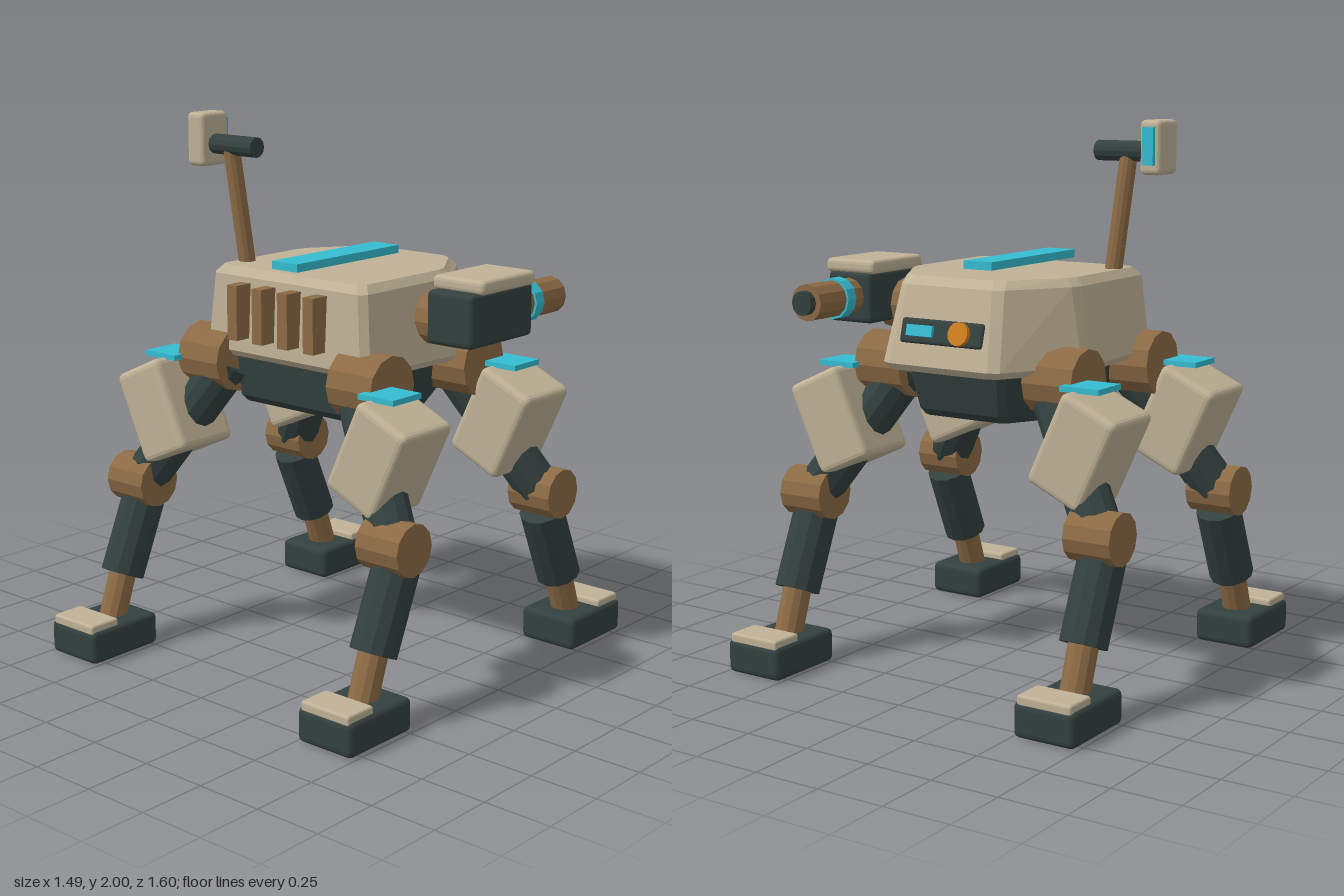
import * as THREE from 'three';
import { RoundedBoxGeometry } from 'three/addons/geometries/RoundedBoxGeometry.js';

const V = (x, y, z) => new THREE.Vector3(x, y, z);

function makeMaterial(name, color) {
  const m = new THREE.MeshStandardMaterial({ color, flatShading: true });
  m.name = name;
  return m;
}

// Stacked convex cross-sections with chamfered corners, closed at both ends.
// Each level is [y, list of [x, z] for the +x side from front to back].
function loftGeometry(levels, chamfer) {
  const pos = [], index = [];
  let n = 0;
  for (const [y, half] of levels) {
    const ring = [...half.map(([x, z]) => [-x, z]), ...half.slice().reverse()];
    n = ring.length * 2;
    ring.forEach((p, i) => {
      for (const q of [ring.at(i - 1), ring[(i + 1) % ring.length]]) {
        const t = chamfer / Math.hypot(q[0] - p[0], q[1] - p[1]);
        pos.push(p[0] + (q[0] - p[0]) * t, y, p[1] + (q[1] - p[1]) * t);
      }
    });
  }
  const top = (levels.length - 1) * n;
  for (let k = 0; k < top; k += n) {
    for (let i = 0; i < n; i++) {
      const j = (i + 1) % n;
      index.push(k + i, k + j, k + n + j, k + i, k + n + j, k + n + i);
    }
  }
  for (let i = 1; i < n - 1; i++) index.push(0, i + 1, i, top, top + i, top + i + 1);
  const g = new THREE.BufferGeometry();
  g.setAttribute('position', new THREE.Float32BufferAttribute(pos, 3));
  g.setIndex(index);
  const flat = g.toNonIndexed();
  flat.computeVertexNormals();
  return flat;
}

export function createModel() {
  const model = new THREE.Group();
  model.name = 'walkerRobot';

  const armor = makeMaterial('armorCream', 0xc0b296);
  const dark = makeMaterial('darkFrame', 0x33413f);
  const bronze = makeMaterial('bronzeJoint', 0x8d6b45);
  const cyan = makeMaterial('cyanGlow', 0x35bdd2);
  const orange = makeMaterial('orangeLamp', 0xd4811f);

  function add(name, geometry, material, at = V(0, 0, 0), parent = model) {
    const mesh = new THREE.Mesh(geometry, material);
    mesh.name = name;
    mesh.position.copy(at);
    parent.add(mesh);
    return mesh;
  }
  const box = (name, mat, w, h, d, at, parent) =>
    add(name, new THREE.BoxGeometry(w, h, d), mat, at, parent);
  const softBox = (name, mat, w, h, d, r, at, parent) =>
    add(name, new RoundedBoxGeometry(w, h, d, 2, r), mat, at, parent);

  // Cylinder running from point a to point b
  function rod(name, mat, a, b, r, parent, sides = 12) {
    const dir = b.clone().sub(a);
    const mesh = add(name, new THREE.CylinderGeometry(r, r, dir.length(), sides), mat,
      a.clone().add(b).multiplyScalar(0.5), parent);
    mesh.quaternion.setFromUnitVectors(V(0, 1, 0), dir.normalize());
    return mesh;
  }

  // Hull and belly
  add('hull', loftGeometry([
    [1.13, [[0.22, -0.49], [0.40, -0.18], [0.37, 0.29]]],
    [1.155, [[0.235, -0.51], [0.42, -0.19], [0.39, 0.315]]],
    [1.43, [[0.205, -0.435], [0.37, -0.18], [0.365, 0.3]]],
    [1.46, [[0.19, -0.40], [0.345, -0.17], [0.34, 0.275]]],
  ], 0.025), armor);
  add('belly', loftGeometry([
    [0.95, [[0.17, -0.35], [0.28, -0.14], [0.27, 0.23]]],
    [0.975, [[0.18, -0.37], [0.295, -0.15], [0.285, 0.25]]],
    [1.14, [[0.2, -0.41], [0.33, -0.16], [0.31, 0.27]]],
  ], 0.02), dark);
  box('topStripe', cyan, 0.12, 0.03, 0.56, V(0, 1.49, 0.02));

  // Cooling fins on the flat end
  for (let i = 0; i < 4; i++) {
    box('coolingFin', bronze, 0.047, 0.2, 0.09, V(-0.189 + i * 0.122, 1.31, 0.33));
  }

  // Sensor slot on the sloping nose
  const sensor = new THREE.Group();
  sensor.name = 'noseSensor';
  sensor.position.set(0, 1.27, -0.463);
  sensor.rotation.x = 0.25;
  model.add(sensor);
  softBox('sensorSlot', dark, 0.35, 0.09, 0.05, 0.012, V(0, 0, 0), sensor);
  box('sensorBar', cyan, 0.11, 0.04, 0.025, V(0.085, 0, -0.025), sensor);
  rod('sensorLamp', orange, V(-0.083, 0, -0.01), V(-0.083, 0, -0.043), 0.042, sensor);

  // Mast with camera head
  rod('mastPole', bronze, V(-0.305, 1.42, 0.165), V(-0.348, 1.875, 0.203), 0.032);
  rod('mastCrossbar', dark, V(-0.44, 1.885, 0.203), V(-0.22, 1.885, 0.203), 0.037);
  softBox('cameraHead', armor, 0.085, 0.195, 0.135, 0.018, V(-0.472, 1.902, 0.2));
  box('cameraLens', cyan, 0.045, 0.135, 0.02, V(-0.472, 1.907, 0.127));

  // Side cannon
  rod('cannonMount', bronze, V(0.33, 1.305, -0.058), V(0.53, 1.305, -0.058), 0.097);
  softBox('cannonBody', dark, 0.2, 0.19, 0.36, 0.018, V(0.568, 1.34, -0.095));
  softBox('cannonCover', armor, 0.225, 0.052, 0.312, 0.018, V(0.568, 1.455, -0.118));
  rod('cannonBarrel', bronze, V(0.568, 1.345, -0.25), V(0.568, 1.345, -0.525), 0.068);
  rod('barrelRing', cyan, V(0.568, 1.345, -0.33), V(0.568, 1.345, -0.377), 0.077);
  rod('muzzle', dark, V(0.568, 1.345, -0.5), V(0.568, 1.345, -0.552), 0.045);

  // Four mirrored legs
  for (const sx of [-1, 1]) {
    for (const sz of [-1, 1]) {
      const P = (x, y, z) => V(x * sx, y, z * sz);
      const leg = new THREE.Group();
      leg.name = (sz < 0 ? 'nose' : 'fin') + (sx > 0 ? 'LeftLeg' : 'RightLeg');
      model.add(leg);
      rod('hipJoint', bronze, P(0.265, 1.11, 0.262), P(0.465, 1.11, 0.262), 0.12, leg);
      rod('thighStrut', dark, P(0.31, 1.1, 0.26), P(0.61, 0.63, 0.425), 0.085, leg);
      const plate = softBox('thighArmor', armor, 0.235, 0.355, 0.268, 0.025,
        P(0.522, 0.905, 0.347), leg);
      plate.rotation.z = -0.43 * sx;
      box('thighPad', cyan, 0.155, 0.02, 0.15, P(0.521, 1.112, 0.344), leg);
      rod('kneeJoint', bronze, P(0.525, 0.625, 0.435), P(0.708, 0.625, 0.435), 0.094, leg);
      rod('shin', dark, P(0.622, 0.55, 0.425), P(0.622, 0.272, 0.545), 0.084, leg);
      rod('anklePiston', bronze, P(0.622, 0.32, 0.528), P(0.622, 0.11, 0.602), 0.053, leg);
      softBox('foot', dark, 0.24, 0.125, 0.322, 0.022, P(0.623, 0.065, 0.64), leg);
      softBox('toePlate', armor, 0.212, 0.04, 0.13, 0.01, P(0.623, 0.132, 0.731), leg);
    }
  }

  // Rest the soles on the ground
  model.children.forEach((part) => { part.position.y -= 0.0025; });
  return model;
}
